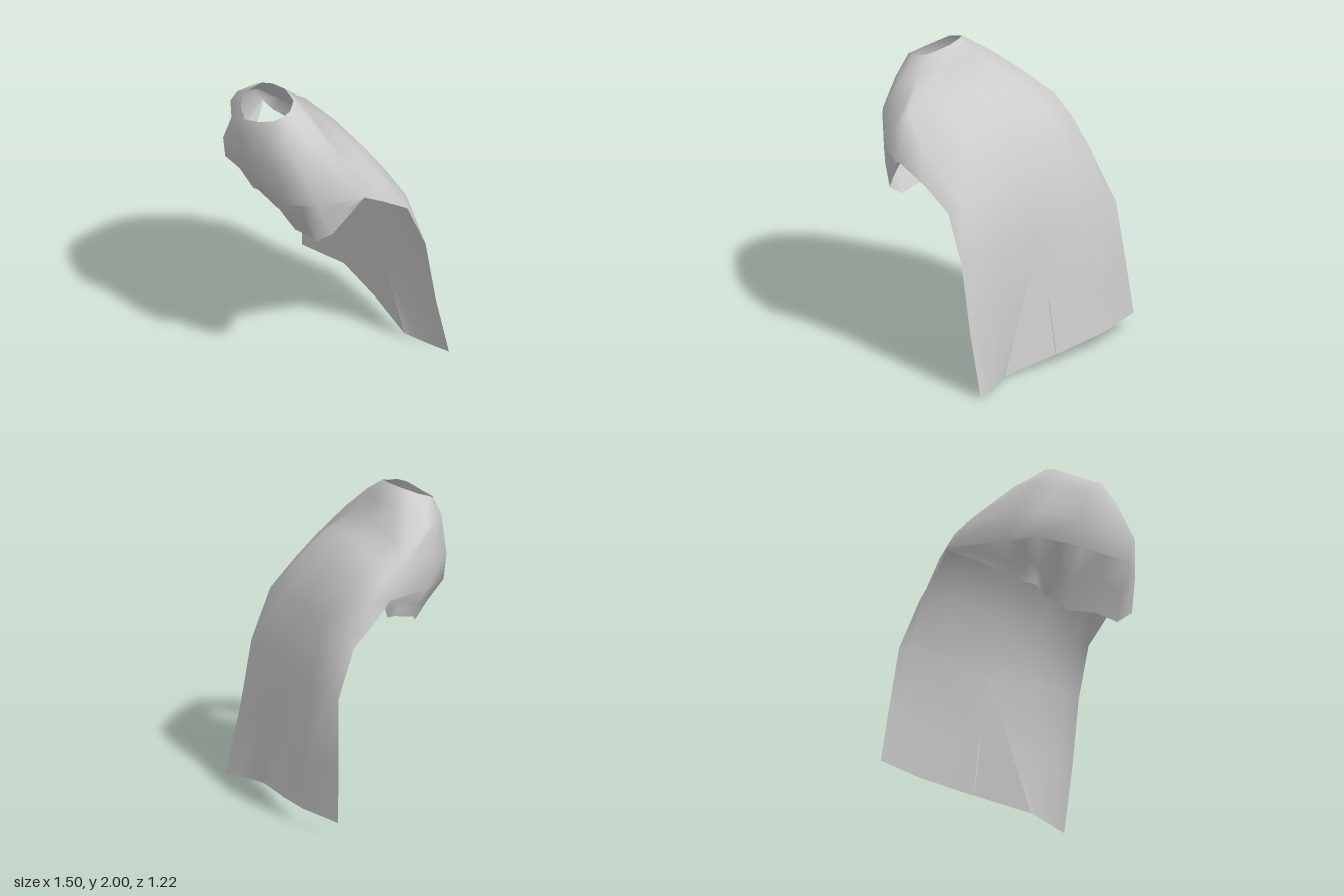
import * as THREE from 'three';

const material = new THREE.MeshStandardMaterial({ color: 0xcccccc, side: THREE.DoubleSide });

// Skin a list of cross-sections, each a list of [x, y, z] points
function loft(name, rows, closed = false) {
  const n = rows[0].length;
  const index = [];
  for (let r = 0; r < rows.length - 1; r++) {
    for (let c = 0; c < (closed ? n : n - 1); c++) {
      const a = r * n + c, b = r * n + (c + 1) % n;
      index.push(a, b, b + n, a, b + n, a + n);
    }
  }
  const geometry = new THREE.BufferGeometry();
  geometry.setAttribute('position', new THREE.Float32BufferAttribute(rows.flat(2), 3));
  geometry.setIndex(index);
  geometry.computeVertexNormals();
  const mesh = new THREE.Mesh(geometry, material);
  mesh.name = name;
  return mesh;
}

// Average the normals where parts share a point, so seams shade smoothly
function blendSeams(meshes) {
  const sums = new Map();
  const visit = action => meshes.forEach(({ geometry: { attributes: { position, normal } } }) => {
    for (let i = 0; i < position.count; i++) {
      const key = new THREE.Vector3().fromBufferAttribute(position, i).toArray().join();
      action(key, normal, i);
    }
  });
  visit((key, normal, i) => {
    if (!sums.has(key)) sums.set(key, new THREE.Vector3());
    sums.get(key).add(new THREE.Vector3().fromBufferAttribute(normal, i));
  });
  sums.forEach(v => v.normalize());
  visit((key, normal, i) => normal.setXYZ(i, ...sums.get(key).toArray()));
}

const mix = (a, b, t) => a.map((v, k) => v + (b[k] - v) * t);

// Add a midpoint between neighbours
const subdivide = row => row.flatMap((p, i) =>
  i === row.length - 1 ? [p] : [p, mix(p, row[i + 1], 0.5)]);

export function createModel() {
  const group = new THREE.Group();
  group.name = 'cape';

  // Mantle rings run back centre, left side, front, right side
  const neck = [
    [0.13, 2.0, 0.27], [0.25, 1.98, 0.29], [0.3, 1.95, 0.35], [0.32, 1.94, 0.42],
    [0.3, 1.92, 0.48], [0.22, 1.89, 0.53], [0.11, 1.87, 0.57], [0.01, 1.9, 0.53],
    [-0.05, 1.94, 0.47], [-0.05, 1.96, 0.41], [-0.03, 1.99, 0.34], [0.03, 2.0, 0.3],
  ];
  const collar = [
    [0.1, 1.91, 0.17], [0.28, 1.91, 0.21], [0.42, 1.87, 0.26], [0.49, 1.82, 0.36],
    [0.42, 1.8, 0.47], [0.27, 1.79, 0.55], [0.11, 1.77, 0.605], [-0.05, 1.8, 0.56],
    [-0.19, 1.82, 0.47], [-0.27, 1.81, 0.36], [-0.22, 1.85, 0.25], [-0.06, 1.91, 0.21],
  ];
  const shoulder = [
    [0.09, 1.77, 0.12], [0.4, 1.75, 0.17], [0.58, 1.71, 0.18], [0.69, 1.6, 0.2],
    [0.58, 1.62, 0.42], [0.46, 1.58, 0.54], [0.11, 1.61, 0.565], [-0.17, 1.58, 0.54],
    [-0.28, 1.63, 0.39], [-0.46, 1.62, 0.1], [-0.4, 1.68, 0.12], [-0.2, 1.75, 0.16],
  ];
  const chest = [
    [0.08, 1.7, 0], [0.4, 1.66, -0.01], [0.63, 1.53, 0], [0.75, 1.44, 0.09],
    [0.62, 1.4, 0.36], [0.48, 1.4, 0.51], [0.14, 1.42, 0.51], [-0.19, 1.42, 0.51],
    [-0.32, 1.42, 0.34], [-0.54, 1.47, -0.02], [-0.48, 1.58, -0.03], [-0.25, 1.66, -0.02],
  ];
  const mantle = loft('mantle', [neck, collar, shoulder, chest], true);

  // Front drape, drawn inward and gathered into folds towards its hem
  const drapeTop = subdivide(chest.slice(3, 10));
  const hem = [
    [0.73, 1.42, 0.09], [0.69, 1.29, 0.19], [0.65, 1.18, 0.27], [0.58, 1.12, 0.35], [0.53, 1.08, 0.29],
    [0.34, 1.08, 0.34], [0.16, 1.08, 0.28], [0.09, 1.11, 0.31], [0, 1.14, 0.28],
    [-0.11, 1.165, 0.35], [-0.22, 1.19, 0.3], [-0.38, 1.32, 0.17], [-0.53, 1.45, -0.02],
  ];
  const folds = drapeTop.map((p, i) => {
    const [x, y, z] = mix(p, hem[i], 0.5);
    const gather = i < 3 || i > 10 ? 0 : i % 2 ? 0.015 : -0.03;
    return [x, y, z + gather];
  });
  const drape = loft('frontDrape', [drapeTop, folds, hem]);

  // Back cape rows run right edge to left edge, dipping at the centre
  const waist = [
    [-0.65, 0.9, -0.43], [-0.56, 0.91, -0.46], [-0.36, 0.91, -0.485], [0.02, 0.86, -0.44],
    [0.36, 0.9, -0.45], [0.58, 0.9, -0.455], [0.68, 0.87, -0.43],
  ];
  const cape = loft('backCape', [
    [9, 10, 11, 0, 1, 2, 3].map(i => chest[i]),
    [[-0.55, 1.35, -0.12], [-0.51, 1.46, -0.16], [-0.3, 1.55, -0.18], [0.06, 1.58, -0.16],
      [0.4, 1.53, -0.165], [0.61, 1.4, -0.16], [0.69, 1.31, -0.1]],
    [[-0.58, 1.2, -0.29], [-0.53, 1.25, -0.34], [-0.3, 1.3, -0.37], [0.04, 1.28, -0.345],
      [0.36, 1.28, -0.35], [0.6, 1.23, -0.335], [0.67, 1.18, -0.295]],
    waist,
  ]);

  // Two tails split below the waist
  const rightTail = loft('rightTail', [
    waist.slice(0, 4),
    [[-0.705, 0.5, -0.455], [-0.6, 0.45, -0.485], [-0.39, 0.4, -0.535], [-0.01, 0.42, -0.5]],
    [[-0.755, 0.11, -0.48], [-0.62, 0.11, -0.515], [-0.42, 0.11, -0.57], [-0.03, 0.065, -0.545]],
  ]);
  const leftTail = loft('leftTail', [
    waist.slice(3),
    [[0.2, 0.42, -0.467], [0.42, 0.42, -0.49], [0.6, 0.42, -0.52], [0.68, 0.42, -0.51]],
    [[0.36, 0.015, -0.49], [0.46, 0.01, -0.525], [0.57, 0.005, -0.565], [0.68, 0, -0.61]],
  ]);

  // Flat gusset closing the split between the tails
  const gusset = loft('gusset', [
    [[0.01, 0.86, -0.44], [0.03, 0.86, -0.44]],
    [[-0.01, 0.42, -0.495], [0.2, 0.42, -0.467]],
    [[-0.03, 0.065, -0.54], [0.36, 0.015, -0.49]],
  ]);

  blendSeams([mantle, drape, cape, rightTail, leftTail]);
  group.add(mantle, drape, cape, rightTail, leftTail, gusset);
  return group;
}
